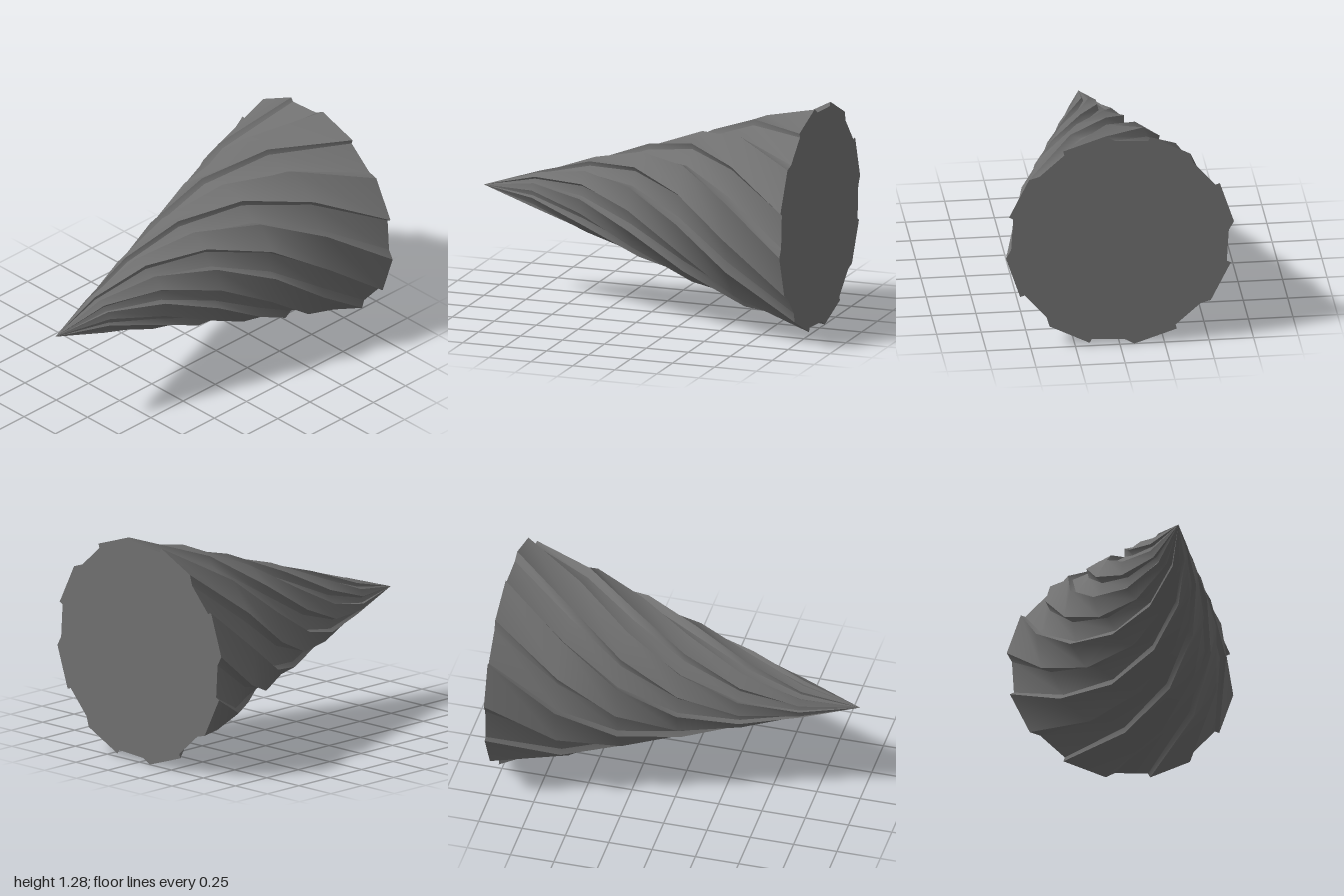
import * as THREE from 'three';

const RIDGES = 8;
const RADIUS = 0.645;
const START = 15.3;                                  // angle of the first ridge, degrees
const TWIST = 26.2;                                  // degrees per ring towards the tip
const RING_Z = [-1, -0.62, -0.3, 0.025, 0.35, 0.675, 1];
const GROOVE = [0.025, 0.034, 0.035, 0.033, 0.026, 0.014, 0]; // groove depth per ring

// One ridge: raised land from 0 to 22.5 degrees, then a sunken groove
const PROFILE = [[0, 0], [22.5, 0], [27, 1.35], [44.5, 1]];

function ring(i) {
  const points = [];
  const r = RADIUS * (1 - i / (RING_Z.length - 1));
  for (let k = 0; k < RIDGES; k++) {
    for (const [angle, sunk] of PROFILE) {
      const a = THREE.MathUtils.degToRad(START + k * 45 + angle + i * TWIST);
      const rr = r - sunk * GROOVE[i];
      points.push([rr * Math.cos(a), rr * Math.sin(a), RING_Z[i]]);
    }
  }
  return points;
}

function meshFrom(name, points, index, material) {
  const geometry = new THREE.BufferGeometry();
  geometry.setAttribute('position', new THREE.Float32BufferAttribute(points.flat(), 3));
  geometry.setIndex(index);
  geometry.computeVertexNormals();
  const mesh = new THREE.Mesh(geometry, material);
  mesh.name = name;
  mesh.position.y = 0.64;
  return mesh;
}

export function createModel() {
  const group = new THREE.Group();
  group.name = 'drillBit';
  const material = new THREE.MeshStandardMaterial({ color: 0x707070 });
  const rings = RING_Z.map((_, i) => ring(i));
  const n = rings[0].length;

  // Twisted, ridged cone: each strip is smooth along its length, sharp at its borders
  const points = [], index = [];
  for (let k = 0; k < n; k++) {
    const base = points.length;
    rings.forEach((r) => points.push(r[k], r[(k + 1) % n]));
    for (let i = 0; i < rings.length - 1; i++) {
      const a = base + i * 2;
      index.push(a, a + 1, a + 3);
      if (i < rings.length - 2) index.push(a, a + 3, a + 2);
    }
  }
  group.add(meshFrom('flutedCone', points, index, material));

  // Flat back face
  const fan = rings[0].flatMap((_, k) => [n, (k + 1) % n, k]);
  group.add(meshFrom('backFace', [...rings[0], [0, 0, -1]], fan, material));
  return group;
}
